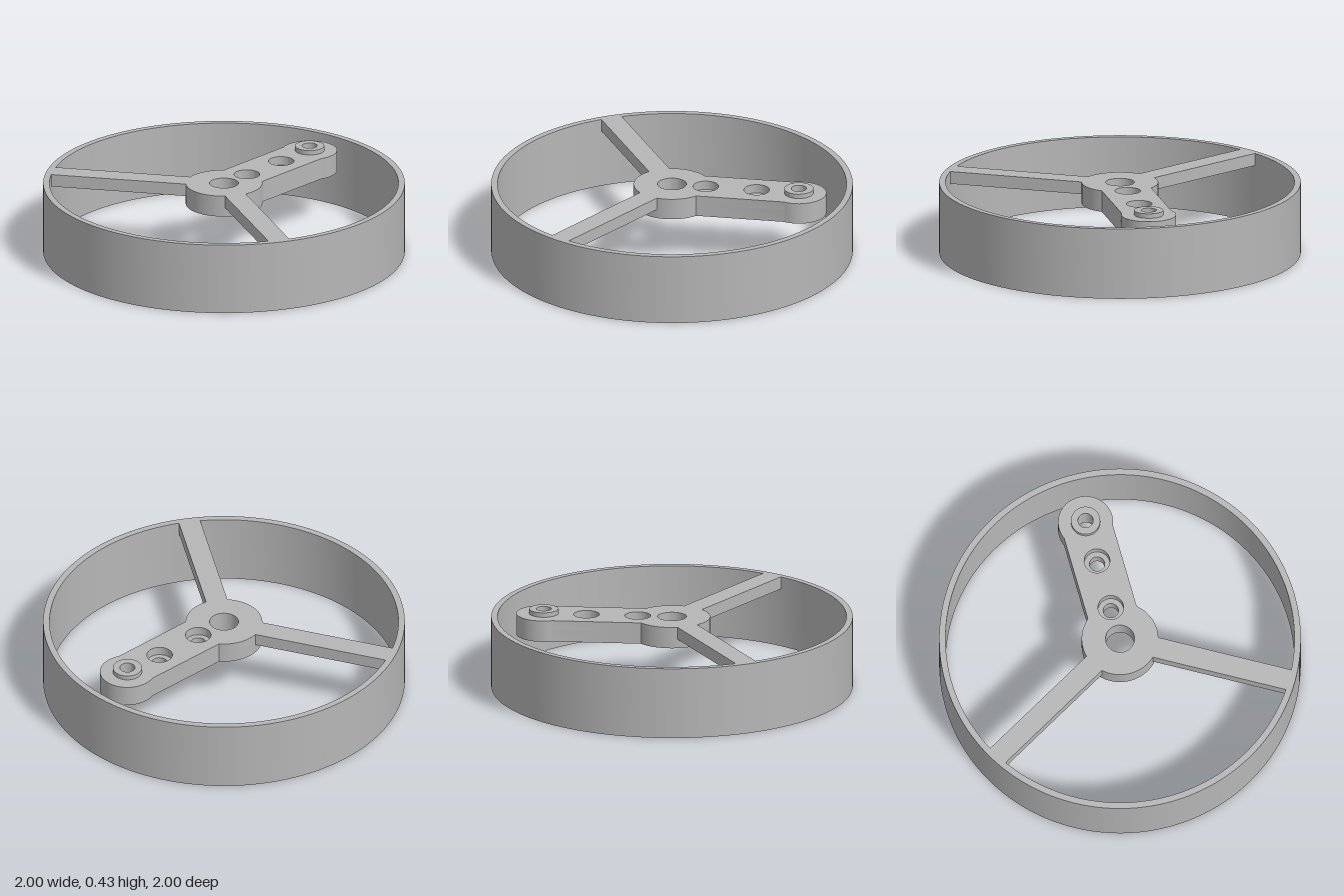
import * as THREE from 'three';
import { toCreasedNormals } from 'three/addons/utils/BufferGeometryUtils.js';

const TOP = 0.4;

export function createModel() {
  const group = new THREE.Group();
  group.name = 'spokedRing';
  const grey = new THREE.MeshStandardMaterial({ color: 0xb6b6b6 });
  grey.name = 'plain grey';

  const add = (name, geometry) => {
    const mesh = new THREE.Mesh(geometry, grey);
    mesh.name = name;
    group.add(mesh);
    return mesh;
  };

  // Extrude a plan shape upward between two heights, smooth round the curves
  const slab = (shape, y0, y1, segments = 32) => {
    const g = new THREE.ExtrudeGeometry(shape, { depth: y1 - y0, bevelEnabled: false, curveSegments: segments });
    g.rotateX(-Math.PI / 2).translate(0, y0, 0);
    return toCreasedNormals(g, 0.5);
  };
  const disc = (x, r) => new THREE.Shape().absarc(x, 0, r, 0, Math.PI * 2, false);
  const punch = (shape, x, r) => {
    shape.holes.push(new THREE.Path().absarc(x, 0, r, 0, Math.PI * 2, true));
    return shape;
  };

  // Outer ring
  add('outerRing', slab(punch(disc(0, 1), 0, 0.965), 0, TOP, 96));

  // Hub and mounting arm share one outline: hub arc, straight sides, round tip
  const hubR = 0.212, tipR = 0.152, tipX = 0.712, halfWidth = 0.14;
  const hubAngle = Math.asin(halfWidth / hubR);
  const tipAngle = Math.PI - Math.asin(halfWidth / tipR);
  const bolts = [0.19, 0.475];
  const plate = (boltRadius) => {
    const s = new THREE.Shape();
    s.absarc(0, 0, hubR, hubAngle, Math.PI * 2 - hubAngle, false);
    s.absarc(tipX, 0, tipR, -tipAngle, tipAngle, false);
    s.closePath();
    punch(s, 0, 0.08);
    bolts.forEach((x) => punch(s, x, boltRadius));
    return punch(s, tipX, 0.042);
  };
  // Narrow bolt holes below, wide counterbores above
  add('hubAndArmLower', slab(plate(0.042), 0.28, 0.35));
  add('hubAndArmUpper', slab(plate(0.071), 0.35, TOP));

  // Raised collar at the arm tip
  add('tipCollar', slab(punch(disc(tipX, 0.081), tipX, 0.042), TOP, 0.426));

  // Two thin spokes, flush with the top of the ring
  for (const side of [1, -1]) {
    const inner = 0.2, outer = 0.975, depth = 0.07;
    const g = new THREE.BoxGeometry(outer - inner, depth, 0.12);
    g.translate((inner + outer) / 2, TOP - depth / 2, 0);
    add(side > 0 ? 'backSpoke' : 'frontSpoke', g).rotation.y = side * Math.PI * 2 / 3;
  }
  return group;
}
